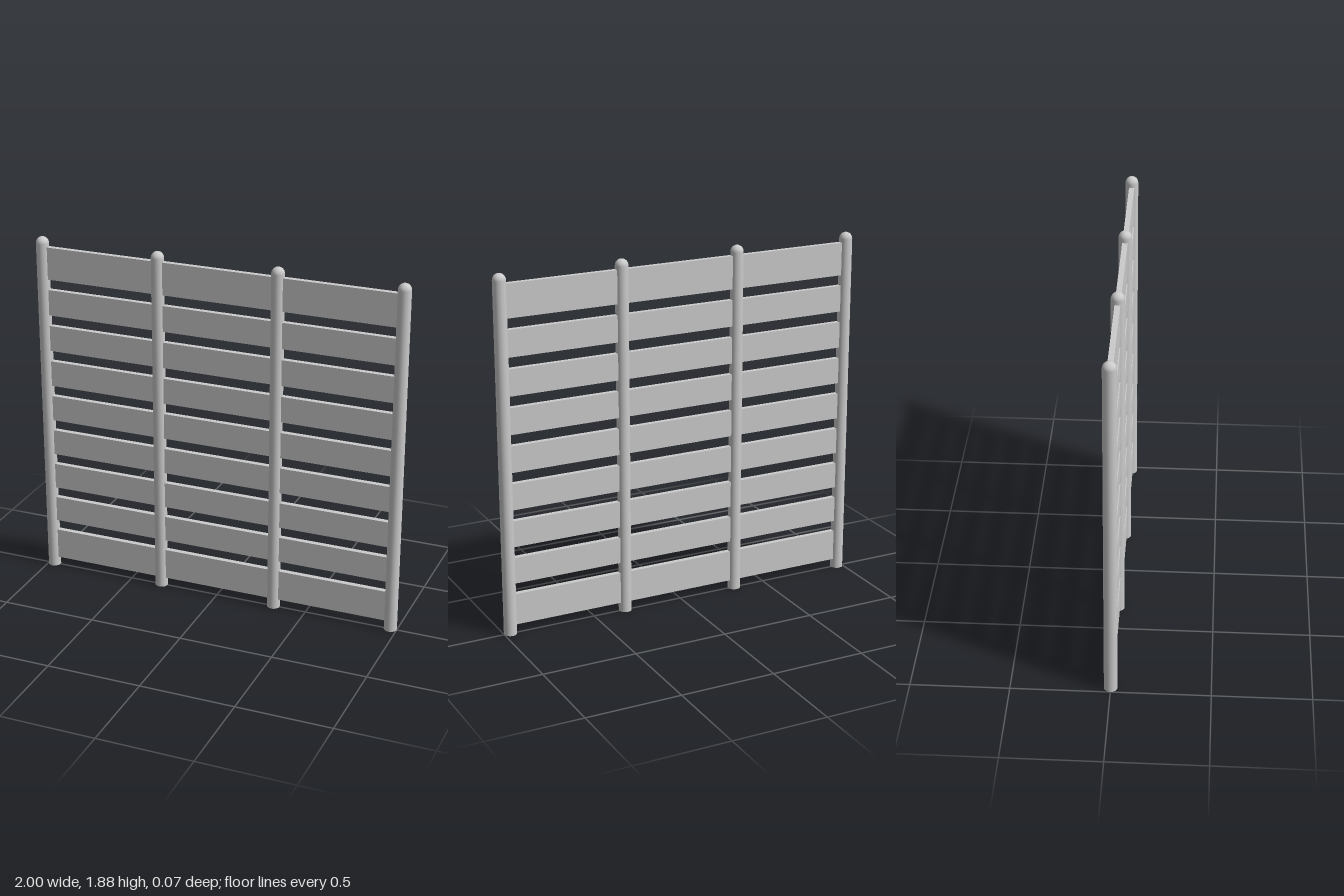
import * as THREE from 'three';

const RADIUS = 0.034, HEIGHT = 1.88, THICKNESS = 0.028;
const POSTS = [-0.966, -0.322, 0.322, 0.966];

export function createModel() {
  const model = new THREE.Group();
  model.name = 'slattedFence';
  const material = new THREE.MeshStandardMaterial({ color: 0xcccccc });

  // Round posts with a domed top and a flat foot
  const shoulder = HEIGHT - RADIUS;
  const shaftGeo = new THREE.CylinderGeometry(RADIUS, RADIUS, shoulder, 20, 1, true);
  shaftGeo.translate(0, shoulder / 2, 0);
  const domeGeo = new THREE.SphereGeometry(RADIUS, 20, 5, 0, Math.PI * 2, 0, Math.PI / 2);
  domeGeo.translate(0, shoulder, 0);
  const footGeo = new THREE.CircleGeometry(RADIUS, 20);
  footGeo.rotateX(Math.PI / 2);

  for (const x of POSTS) {
    const post = new THREE.Group();
    post.name = 'post';
    post.position.x = x;
    for (const [name, geo] of [['postShaft', shaftGeo], ['postDome', domeGeo], ['postFoot', footGeo]]) {
      const mesh = new THREE.Mesh(geo, material);
      mesh.name = name;
      post.add(mesh);
    }
    model.add(post);
  }

  // Slat rows as [bottom, top]: wider boards at both ends, even ones between
  const rows = [[0.05, 0.217]];
  for (let i = 0; i < 7; i++) rows.push([0.275 + i * 0.1974, 0.414 + i * 0.1974]);
  rows.push([1.655, 1.828]);

  // One slat per bay, its ends tucked into the posts
  for (const [bottom, top] of rows) {
    for (let bay = 0; bay < POSTS.length - 1; bay++) {
      const length = POSTS[bay + 1] - POSTS[bay] - RADIUS;
      const slat = new THREE.Mesh(new THREE.BoxGeometry(length, top - bottom, THICKNESS), material);
      slat.name = 'slat';
      slat.position.set((POSTS[bay] + POSTS[bay + 1]) / 2, (top + bottom) / 2, 0);
      model.add(slat);
    }
  }
  return model;
}
